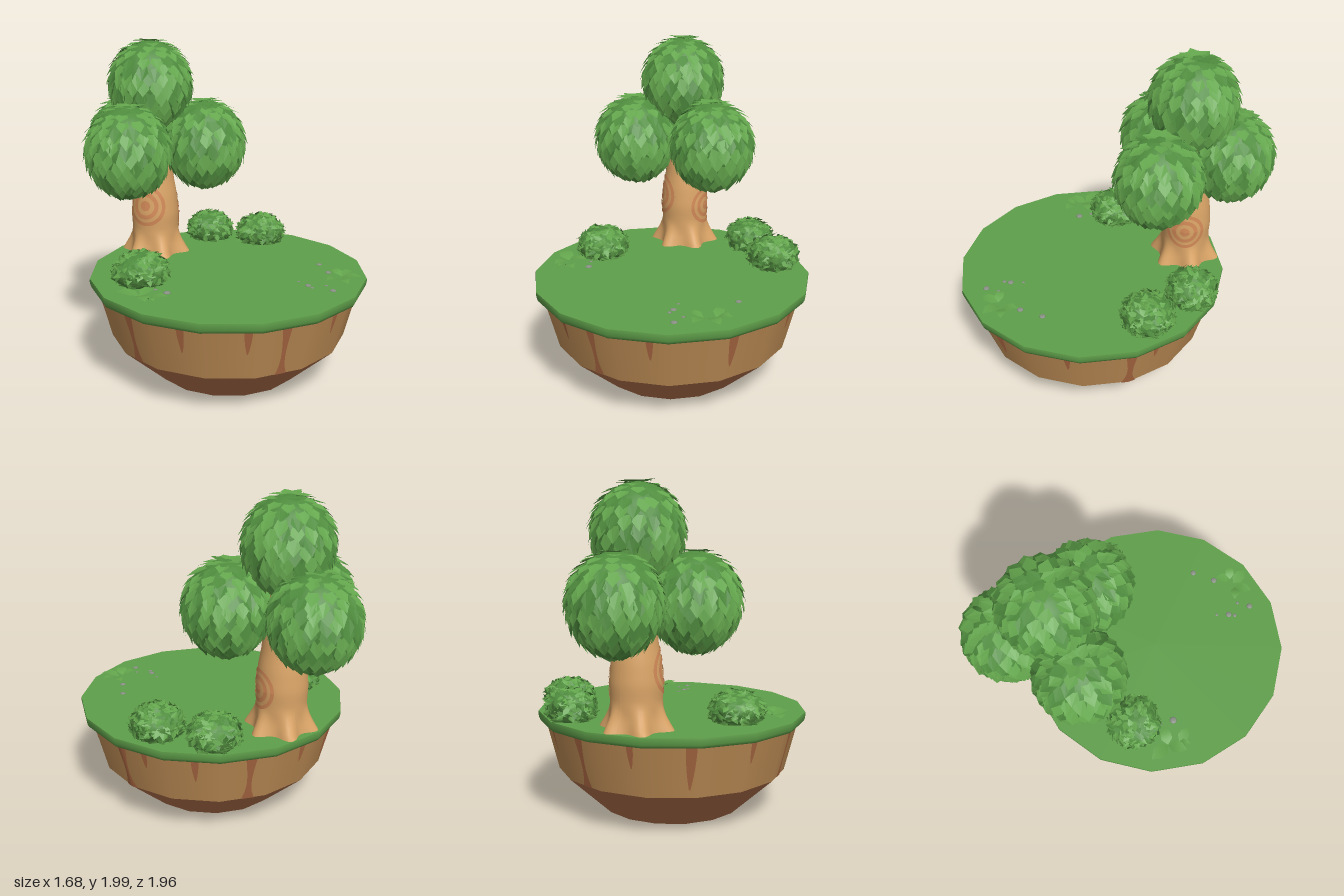
import * as THREE from 'three';

const material = (name, color, double = false) => {
  const m = new THREE.MeshStandardMaterial({ color });
  m.name = name;
  if (double) m.side = THREE.DoubleSide;
  return m;
};

// Small seeded generator
const seeded = (seed) => () => {
  seed = (seed * 16807) % 2147483647;
  return seed / 2147483647;
};

const geometryFrom = (positions, index) => {
  const g = new THREE.BufferGeometry();
  g.setAttribute('position', new THREE.Float32BufferAttribute(positions, 3));
  if (index) g.setIndex(index);
  g.computeVertexNormals();
  return g;
};

// Piecewise linear lookup in [key, value] pairs
const lookup = (table, k) => {
  let i = 0;
  while (i < table.length - 2 && k > table[i + 1][0]) i++;
  const [a, b] = [table[i], table[i + 1]];
  return THREE.MathUtils.lerp(a[1], b[1], THREE.MathUtils.clamp((k - a[0]) / (b[0] - a[0]), 0, 1));
};

const SIDES = 16, ISLAND_Z = 0.14, GROUND = 0.62;
const TRUNK = new THREE.Vector3(-0.165, 0, -0.455);
const TRUNK_PROFILE = [[0.62, 0.165], [0.7, 0.15], [0.8, 0.149], [0.88, 0.153], [1.0, 0.142],
  [1.1, 0.125], [1.25, 0.11], [1.45, 0.08]];

// Trunk radius, with six roots swelling at the foot
const trunkRadius = (y, a) => {
  const fall = Math.max(0, 1 - (y - GROUND) / 0.14);
  return lookup(TRUNK_PROFILE, y) + 0.06 * fall * Math.pow((1 + Math.cos(6 * a + Math.PI / 2)) / 2, 1.4);
};

// Radius of the straight-sided island wall
const wallRadius = (y, a) => {
  const step = (2 * Math.PI) / SIDES;
  const local = a - Math.floor(a / step) * step - step / 2;
  return (lookup([[0.25, 0.715], [0.565, 0.795]], y) * Math.cos(step / 2)) / Math.cos(local);
};

// One pointed leaf lying on a unit ball
function addLeaf(out, d, t, length, width, lift) {
  const s = new THREE.Vector3().crossVectors(d, t);
  const at = (along, side, r) =>
    d.clone().addScaledVector(t, along * length).addScaledVector(s, side * width).normalize().multiplyScalar(r);
  const tip = at(1, 0, 1 + lift), midL = at(0.5, -1, 0.99), midR = at(0.5, 1, 0.99);
  const rootL = at(0, -0.6, 0.93), rootR = at(0, 0.6, 0.93);
  for (const p of [tip, midR, rootR, tip, rootR, rootL, tip, rootL, midL]) out.push(p.x, p.y, p.z);
}

export function createModel() {
  const model = new THREE.Group();
  model.name = 'floatingTreeIsland';
  const mats = {
    grass: material('grass green', 0x5f9f4a),
    earth: material('tan earth', 0xc08e56),
    clay: material('red brown earth', 0xb4734c),
    streak: material('earth streak', 0xae6a43, true),
    bark: material('tan bark', 0xdba567),
    ring: material('orange bark ring', 0xd38a58, true),
    light: material('light leaf', 0x64a64d, true),
    dark: material('dark leaf', 0x4f8c3e, true),
    stone: material('grey stone', 0x8a9186),
  };
  const add = (name, geometry, mat, parent = model) => {
    const m = new THREE.Mesh(geometry, mat);
    m.name = name;
    parent.add(m);
    return m;
  };
  const lathe = (points) => new THREE.LatheGeometry(points.map(([x, y]) => new THREE.Vector2(x, y)), SIDES);

  // Island bowl, rim and lawn
  const island = new THREE.Group();
  island.name = 'island';
  island.position.z = ISLAND_Z;
  model.add(island);
  add('lowerBowl', lathe([[0.445, 0], [0.715, 0.25]]), mats.clay, island);
  add('upperBowl', lathe([[0.715, 0.25], [0.795, 0.565]]), mats.earth, island);
  const bottom = add('bowlBottom', new THREE.CircleGeometry(0.445, SIDES), mats.clay, island);
  bottom.rotation.x = Math.PI / 2;
  add('grassRim', lathe([[0.78, 0.565], [0.828, 0.562], [0.836, 0.58], [0.84, 0.605], [0.838, GROUND]]), mats.grass, island);
  const lawn = add('lawn', new THREE.CircleGeometry(0.838, SIDES), mats.grass, island);
  lawn.rotation.x = -Math.PI / 2;
  lawn.position.y = GROUND;

  // Streaks running down the wall: [angle in degrees, half width, lower end]
  const streaks = [[-54, 0.022, 0.4], [-27, 0.022, 0.41], [-11, 0.03, 0.25], [15, 0.02, 0.42], [49, 0.03, 0.34],
    [84, 0.02, 0.42], [112, 0.04, 0.25], [124, 0.02, 0.44], [147, 0.022, 0.4], [171, 0.035, 0.25],
    [197, 0.02, 0.42], [222, 0.03, 0.3], [250, 0.022, 0.42], [280, 0.035, 0.25]];
  for (const [deg, half, low] of streaks) {
    const pos = [], index = [], rows = 6, cols = 4;
    for (let i = 0; i <= rows; i++) {
      const t = i / rows, y = 0.565 + (low - 0.565) * t;
      const w = half * (low < 0.26 ? 1 - 1.3 * t + 1.5 * t ** 4 : 1 - 0.85 * t * t);
      for (let j = 0; j <= cols; j++) {
        const a = THREE.MathUtils.degToRad(deg) + ((j / cols) * 2 - 1) * w / 0.76;
        const r = wallRadius(y, a) + 0.004;
        pos.push(Math.sin(a) * r, y, Math.cos(a) * r);
        if (i < rows && j < cols) {
          const k = i * (cols + 1) + j, n = k + cols + 1;
          index.push(k, n, k + 1, n, n + 1, k + 1);
        }
      }
    }
    add('earthStreak', geometryFrom(pos, index), mats.streak, island);
  }

  // Trunk with flared roots
  const trunkPoints = Array.from({ length: 29 }, (_, i) => new THREE.Vector2(0.1, GROUND + i * 0.03));
  const trunk = new THREE.LatheGeometry(trunkPoints, 60, Math.PI);
  const tp = trunk.attributes.position;
  for (let i = 0; i < tp.count; i++) {
    const a = Math.atan2(tp.getX(i), tp.getZ(i)), r = trunkRadius(tp.getY(i), a);
    tp.setX(i, Math.sin(a) * r);
    tp.setZ(i, Math.cos(a) * r);
  }
  trunk.computeVertexNormals();
  add('trunk', trunk, mats.bark).position.copy(TRUNK);

  // Concentric bark rings wrapped on the trunk
  for (const [angle, cy, size] of [[1.5, 0.88, 1], [-0.95, 0.95, 1.08]]) {
    for (const [inner, outer] of [[0.001, 0.03], [0.055, 0.08], [0.1, 0.122]]) {
      const g = new THREE.RingGeometry(inner * size, outer * size, 36, 2);
      const p = g.attributes.position;
      for (let i = 0; i < p.count; i++) {
        const y = cy + p.getY(i), a = angle + p.getX(i) / 0.15, r = trunkRadius(y, a) + 0.004;
        p.setXYZ(i, Math.sin(a) * r, y, Math.cos(a) * r);
      }
      g.computeVertexNormals();
      add('barkRing', g, mats.ring).position.copy(TRUNK);
    }
  }

  // Leafy crowns and the branches that carry them
  const crowns = [[-0.18, 1.705, -0.455], [-0.44, 1.335, -0.285], [0.1, 1.335, -0.27], [-0.21, 1.335, -0.7]];
  crowns.forEach(([x, y, z], n) => {
    const rand = seeded(101 + n * 57), light = [], dark = [];
    for (let i = 0; i < 15; i++) {
      const phi = 0.06 + i * 0.195, count = Math.max(6, Math.round(24 * Math.sin(phi)));
      for (let j = 0; j < count; j++) {
        const th = ((j + (i % 2) / 2 + (rand() - 0.5) * 0.5) / count) * 2 * Math.PI;
        const p = phi + (rand() - 0.5) * 0.08;
        const d = new THREE.Vector3(Math.sin(p) * Math.sin(th), Math.cos(p), Math.sin(p) * Math.cos(th));
        const t = new THREE.Vector3(Math.cos(p) * Math.sin(th), -Math.sin(p), Math.cos(p) * Math.cos(th));
        addLeaf(rand() < 0.68 ? light : dark, d, t, 0.32 + rand() * 0.1, 0.15, 0.01 + rand() * 0.05);
      }
    }
    const crown = new THREE.Group();
    crown.name = 'leafCrown';
    crown.position.set(x, y, z);
    crown.scale.set(0.268, 0.29, 0.268);
    model.add(crown);
    add('crownCore', new THREE.SphereGeometry(0.94, 24, 16), mats.dark, crown);
    add('lightLeaves', geometryFrom(light), mats.light, crown);
    add('darkLeaves', geometryFrom(dark), mats.dark, crown);
    const branch = new THREE.QuadraticBezierCurve3(new THREE.Vector3(TRUNK.x, 1.08, TRUNK.z),
      new THREE.Vector3(TRUNK.x, 1.22, TRUNK.z), new THREE.Vector3(x, y, z));
    add('branch', new THREE.TubeGeometry(branch, 8, 0.06, 8), mats.bark);
  });

  // Bushes with leaves turned every way
  [[-0.54, 0.02, 0.165], [0.29, -0.49, 0.155], [0.53, -0.23, 0.16]].forEach(([x, z, r], n) => {
    const rand = seeded(7 + n * 31), light = [], dark = [], count = 260;
    for (let i = 0; i < count; i++) {
      const y = 1 - (1.5 * (i + 0.5)) / count, th = i * 2.39996, s = Math.sqrt(1 - y * y);
      const d = new THREE.Vector3(s * Math.sin(th), y, s * Math.cos(th));
      const t = new THREE.Vector3(Math.cos(th), 0, -Math.sin(th)).applyAxisAngle(d, rand() * 6.283);
      addLeaf(rand() < 0.68 ? light : dark, d, t, 0.32 + rand() * 0.12, 0.12, 0.03 + rand() * 0.1);
    }
    const bush = new THREE.Group();
    bush.name = 'bush';
    bush.position.set(x, 0.68, z);
    bush.scale.set(r, 0.122, r);
    model.add(bush);
    add('bushCore', new THREE.SphereGeometry(0.93, 20, 14), mats.dark, bush);
    add('lightLeaves', geometryFrom(light), mats.light, bush);
    add('darkLeaves', geometryFrom(dark), mats.dark, bush);
  });

  // Low sprouts: [root x, root z, tip x, tip z]
  const sprouts = [[-0.67, 0.24, -0.77, 0.14], [-0.67, 0.24, -0.56, 0.21], [-0.67, 0.24, -0.7, 0.36],
    [-0.65, 0.31, -0.56, 0.37], [-0.65, 0.31, -0.66, 0.38], [0.48, 0.64, 0.48, 0.54], [0.48, 0.64, 0.57, 0.63],
    [0.42, 0.67, 0.4, 0.78], [0.42, 0.67, 0.33, 0.67], [0.45, 0.66, 0.54, 0.74]];
  for (const [x0, z0, x1, z1] of sprouts) {
    const dx = x1 - x0, dz = z1 - z0, pos = [];
    for (const [t, lift] of [[0, 0.006], [0.3, 0.024], [0.65, 0.032], [1, 0.022]]) {
      const w = 0.34 * Math.sin(Math.PI * Math.pow(t, 0.85));
      for (const s of [-1, 0, 1])
        pos.push(x0 + dx * t + dz * w * s, GROUND + lift - (s ? 0 : 0.006 * w), z0 + dz * t - dx * w * s);
    }
    const index = [];
    for (let i = 0; i < 3; i++) for (let j = 0; j < 2; j++) {
      const k = i * 3 + j;
      index.push(k, k + 1, k + 3, k + 1, k + 4, k + 3);
    }
    add('sproutLeaf', geometryFrom(pos, index), mats.light);
  }

  // Pebbles on the lawn
  for (const [x, z, r] of [[-0.51, 0.27, 0.023], [0.52, 0.39, 0.019], [0.47, 0.53, 0.02], [0.22, 0.55, 0.01],
    [0.225, 0.63, 0.02], [0.22, 0.67, 0.013], [0.31, 0.69, 0.011], [0.29, 0.77, 0.02], [-0.54, 0.19, 0.012]]) {
    const pebble = add('pebble', new THREE.SphereGeometry(r, 8, 6), mats.stone);
    pebble.position.set(x, GROUND, z);
    pebble.scale.y = 0.3;
  }
  return model;
}
